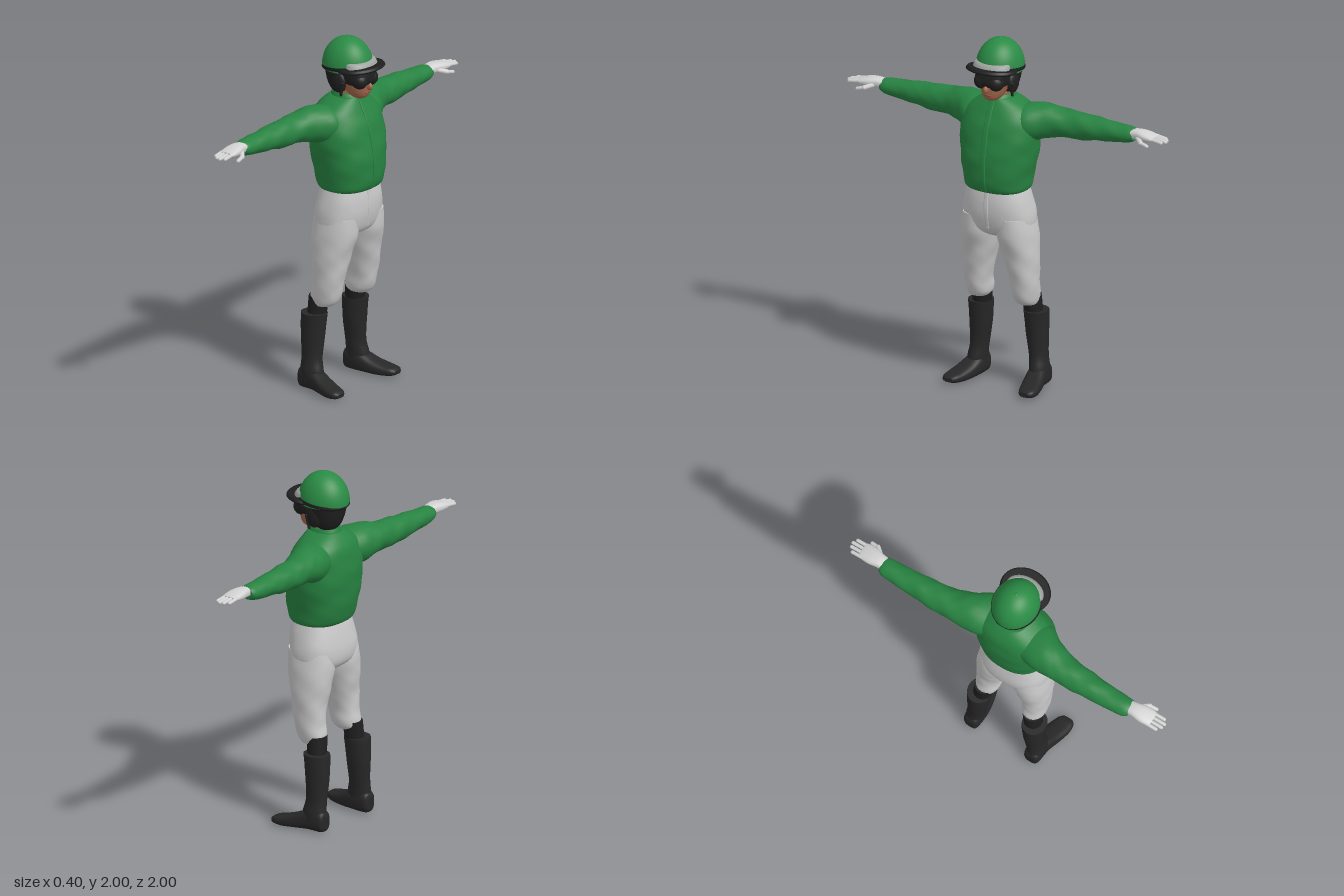
import * as THREE from 'three';

const mat = (name, color) => {
  const m = new THREE.MeshStandardMaterial({ color });
  m.name = name;
  return m;
};

// Axis order for cross-sections: [along, first, second]
const AXES = { x: [0, 1, 2], y: [1, 0, 2], z: [2, 0, 1] };

const spline = (a, b, c, d, t) =>
  0.5 * (2 * b + (c - a) * t + (2 * a - 5 * b + 4 * c - d) * t * t + (3 * b - a - 3 * c + d) * t * t * t);

// Skin through rows of [position, min1, max1, min2, max2] along an axis.
// side mirrors in z, power squares the section, fold adds cloth ripples, tilt lifts y along x.
function loft(rows, { axis = 'y', side = 1, power = 2, steps = 4, seg = 28, fold = 0, tilt = 0 } = {}) {
  const [A, U, V] = AXES[axis], pos = [], idx = [];
  const flip = (axis !== 'y') !== (side < 0);
  const tri = (a, b, c) => (flip ? idx.push(a, c, b) : idx.push(a, b, c));
  const put = (along, u, v) => {
    const p = [0, 0, 0];
    p[A] = along; p[U] = u; p[V] = v;
    pos.push(p[0], p[1] + tilt * p[0], p[2] * side);
  };
  const at = (i) => rows[Math.max(0, Math.min(rows.length - 1, i))];
  const n = (rows.length - 1) * steps;
  const ring = (k) => {
    const i = Math.min(Math.floor(k / steps), rows.length - 2), t = k / steps - i;
    const r = at(i).map((_, c) => spline(at(i - 1)[c], at(i)[c], at(i + 1)[c], at(i + 2)[c], t));
    const fade = Math.sin((Math.PI * k) / n);
    for (let j = 0; j < seg; j++) {
      const a = (j / seg) * Math.PI * 2, c = Math.cos(a), s = Math.sin(a);
      const w = 1 + fold * fade * (Math.sin(3 * a + r[0] * 38) + 0.6 * Math.sin(5 * a - r[0] * 61));
      const e = 2 / power;
      put(r[0],
        (r[1] + r[2]) / 2 + ((r[2] - r[1]) / 2) * w * Math.sign(c) * Math.abs(c) ** e,
        (r[3] + r[4]) / 2 + ((r[4] - r[3]) / 2) * w * Math.sign(s) * Math.abs(s) ** e);
    }
    return r;
  };
  for (let k = 0; k <= n; k++) ring(k);
  for (let k = 0; k < n; k++) for (let j = 0; j < seg; j++) {
    const a = k * seg + j, b = k * seg + ((j + 1) % seg);
    tri(a, a + seg, b);
    tri(b, a + seg, b + seg);
  }
  // End caps with their own vertices keep the rims crisp
  for (const k of [0, n]) {
    const base = pos.length / 3, r = ring(k);
    put(r[0], (r[1] + r[2]) / 2, (r[3] + r[4]) / 2);
    for (let j = 0; j < seg; j++) {
      const a = base + j, b = base + ((j + 1) % seg);
      k ? tri(base + seg, b, a) : tri(base + seg, a, b);
    }
  }
  const g = new THREE.BufferGeometry();
  g.setAttribute('position', new THREE.Float32BufferAttribute(pos, 3));
  g.setIndex(idx);
  g.computeVertexNormals();
  return g;
}

export function createModel() {
  const model = new THREE.Group();
  const green = mat('silk green', 0x278241), shell = mat('helmet green', 0x2a8b45);
  const white = mat('breeches white', 0xc9c9c9), glove = mat('glove white', 0xd2d2d2);
  const black = mat('boot black', 0x272727), dark = mat('padding black', 0x1f1f20);
  const skin = mat('skin', 0xa4674b), grey = mat('band grey', 0x9ea39f), lip = mat('lips', 0x8c4f40);

  const add = (name, geometry, material) => {
    const m = new THREE.Mesh(geometry, material);
    m.name = name;
    model.add(m);
    return m;
  };
  const ball = (name, material, p, s) => {
    const m = add(name, new THREE.SphereGeometry(1, 24, 16), material);
    m.position.set(...p);
    m.scale.set(...s);
    return m;
  };
  const rod = (name, material, a, b, r) => {
    const p = new THREE.Vector3(...a), q = new THREE.Vector3(...b), d = q.clone().sub(p);
    const m = add(name, new THREE.CapsuleGeometry(r, d.length(), 5, 10), material);
    m.position.copy(p).add(q).multiplyScalar(0.5);
    m.quaternion.setFromUnitVectors(new THREE.Vector3(0, 1, 0), d.normalize());
  };

  // Blouse, placket and collar
  const torso = [
    [1.145, -0.13, 0.13, -0.165, 0.165], [1.165, -0.155, 0.16, -0.182, 0.182],
    [1.22, -0.175, 0.175, -0.19, 0.19], [1.32, -0.192, 0.178, -0.208, 0.208],
    [1.42, -0.197, 0.163, -0.222, 0.222], [1.52, -0.19, 0.138, -0.222, 0.222],
    [1.59, -0.173, 0.106, -0.195, 0.195], [1.635, -0.145, 0.083, -0.14, 0.14],
    [1.665, -0.115, 0.068, -0.085, 0.085],
  ];
  add('blouse', loft(torso, { power: 2.3, seg: 48, steps: 5, fold: 0.009 }), green);
  add('placket', loft(torso.slice(1).map(([y, , x]) => [y, x - 0.04, x + 0.005, -0.016, 0.016]),
    { power: 6 }), green);
  add('collar', loft([[1.63, -0.12, 0.08, -0.088, 0.088], [1.665, -0.113, 0.072, -0.078, 0.078],
    [1.685, -0.105, 0.055, -0.07, 0.07]]), green);

  // Hips with fly and belt loops
  add('hips', loft([
    [0.88, -0.1, 0.06, -0.12, 0.12], [0.92, -0.148, 0.115, -0.195, 0.195], [1.0, -0.16, 0.138, -0.205, 0.205],
    [1.09, -0.145, 0.142, -0.19, 0.19], [1.17, -0.125, 0.13, -0.168, 0.168],
  ], { power: 2.4, seg: 40, fold: 0.004 }), white);
  add('fly', loft([[0.94, 0.07, 0.128, -0.012, 0.012], [1.04, 0.09, 0.146, -0.016, 0.016],
    [1.15, 0.09, 0.139, -0.014, 0.014]], { power: 5 }), white);

  for (const side of [1, -1]) {
    const o = { side };
    const S = (x, y, z) => [x, y, z * side];

    const loop = add('beltLoop', new THREE.BoxGeometry(0.012, 0.06, 0.012), white);
    loop.position.set(0.105, 1.13, 0.105 * side);

    // Sleeve and cuff
    add('sleeve', loft([
      [0.08, -0.15, 0.06, 1.46, 1.62], [0.18, -0.182, 0.068, 1.425, 1.64], [0.27, -0.186, 0.018, 1.45, 1.637],
      [0.36, -0.186, -0.018, 1.463, 1.62], [0.48, -0.184, -0.035, 1.465, 1.612],
      [0.58, -0.178, -0.045, 1.48, 1.604], [0.68, -0.174, -0.053, 1.49, 1.595],
      [0.76, -0.167, -0.057, 1.503, 1.59], [0.79, -0.155, -0.065, 1.518, 1.582],
    ], { ...o, axis: 'z', fold: 0.026, steps: 6 }), green);

    // Gloved hand
    add('palm', loft([
      [0.76, -0.143, -0.068, 1.53, 1.578], [0.81, -0.145, -0.064, 1.532, 1.588],
      [0.86, -0.152, -0.052, 1.533, 1.585], [0.91, -0.148, -0.052, 1.54, 1.573], [0.925, -0.14, -0.058, 1.545, 1.567],
    ], { ...o, axis: 'z', power: 2.5 }), glove);
    [[-0.139, 0.965], [-0.115, 0.985], [-0.091, 0.99], [-0.067, 0.975]].forEach(([x, tip]) =>
      rod('finger', glove, S(x, 1.558, 0.905), S(x + 0.002, 1.549, tip), 0.0105));
    rod('thumb', glove, S(-0.068, 1.55, 0.83), S(-0.036, 1.538, 0.865), 0.014);
    rod('thumbTip', glove, S(-0.036, 1.538, 0.865), S(-0.031, 1.528, 0.905), 0.011);

    // Breeches leg gathered below the knee
    add('breechesLeg', loft([
      [0.485, -0.115, 0.0, 0.1, 0.2], [0.505, -0.132, 0.025, 0.083, 0.208], [0.54, -0.135, 0.042, 0.076, 0.214],
      [0.6, -0.124, 0.056, 0.073, 0.218], [0.7, -0.125, 0.075, 0.052, 0.221], [0.8, -0.139, 0.096, 0.025, 0.221],
      [0.9, -0.149, 0.122, 0.004, 0.214], [1.0, -0.14, 0.125, 0.003, 0.2],
    ], { ...o, power: 2.2, fold: 0.016, steps: 5 }), white);

    // Sock, boot shaft and foot
    add('sock', loft([[0.41, -0.15, -0.045, 0.11, 0.215], [0.53, -0.147, -0.03, 0.098, 0.205]], o), dark);
    add('bootShaft', loft([
      [0.05, -0.178, -0.03, 0.142, 0.245], [0.11, -0.176, -0.035, 0.14, 0.245], [0.18, -0.173, -0.05, 0.133, 0.235],
      [0.3, -0.18, -0.043, 0.115, 0.238], [0.4, -0.181, -0.033, 0.107, 0.241], [0.435, -0.18, -0.028, 0.106, 0.242],
    ], { ...o, fold: 0.006 }), black);
    add('bootFoot', loft([
      [-0.182, 0.02, 0.09, 0.165, 0.215], [-0.165, 0.002, 0.12, 0.147, 0.237], [-0.08, 0.002, 0.118, 0.14, 0.248],
      [0, 0, 0.082, 0.152, 0.27], [0.07, 0, 0.06, 0.172, 0.286], [0.118, 0.006, 0.05, 0.192, 0.283],
      [0.138, 0.015, 0.037, 0.212, 0.265],
    ], { ...o, axis: 'x', power: 2.7 }), black);

    // Goggle lens, ear flap and hanging strap
    ball('goggleLens', dark, S(0.105, 1.778, 0.043), [0.047, 0.046, 0.045]);
    ball('earFlap', dark, S(-0.01, 1.755, 0.083), [0.05, 0.06, 0.025]);
    rod('chinStrap', dark, S(0.03, 1.76, 0.098), S(0.015, 1.69, 0.092), 0.008);
  }

  // Head
  add('neck', loft([[1.6, -0.09, 0.04, -0.06, 0.06], [1.74, -0.09, 0.05, -0.06, 0.06]]), skin);
  add('face', loft([
    [1.668, 0.035, 0.1, -0.03, 0.03], [1.685, 0.0, 0.123, -0.048, 0.048], [1.72, -0.04, 0.133, -0.065, 0.065],
    [1.77, -0.08, 0.135, -0.078, 0.078], [1.85, -0.1, 0.12, -0.08, 0.08],
  ], { power: 2.2 }), skin);
  ball('nose', skin, [0.137, 1.742, 0], [0.022, 0.022, 0.014]);
  ball('lips', lip, [0.125, 1.708, 0], [0.011, 0.007, 0.024]);
  add('goggleFrame', loft([[1.756, 0.0, 0.142, -0.084, 0.084], [1.785, -0.01, 0.151, -0.091, 0.091],
    [1.83, -0.01, 0.143, -0.09, 0.09]], { power: 2.6 }), dark);

  // Helmet: padding, dome, brim with peak, grey front band
  add('helmetPadding', loft([
    [1.685, -0.095, 0.0, -0.062, 0.062], [1.71, -0.113, 0.035, -0.082, 0.082],
    [1.76, -0.132, 0.048, -0.098, 0.098], [1.84, -0.145, 0.06, -0.113, 0.113],
  ]), dark);
  const dome = add('helmetDome', new THREE.SphereGeometry(1, 40, 20, 0, Math.PI * 2, 0, Math.PI * 0.52), shell);
  dome.position.set(-0.014, 1.832, 0);
  dome.scale.set(0.146, 0.164, 0.13);
  add('helmetRim', loft([[1.825, -0.15, 0.12, -0.122, 0.122], [1.835, -0.16, 0.14, -0.134, 0.134],
    [1.85, -0.158, 0.14, -0.133, 0.133]], { tilt: 0.11, seg: 40 }), dark);
  add('helmetPeak', loft([[1.822, -0.04, 0.185, -0.135, 0.135], [1.832, -0.04, 0.2, -0.146, 0.146],
    [1.845, -0.03, 0.19, -0.138, 0.138]], { tilt: 0.1, seg: 40 }), dark);
  add('helmetBand', loft([[1.85, 0.0, 0.155, -0.112, 0.112], [1.873, 0.0, 0.142, -0.106, 0.106],
    [1.882, 0.0, 0.128, -0.098, 0.098]]), grey);
  ball('helmetButton', shell, [-0.014, 1.99, 0], [0.012, 0.009, 0.012]);

  return model;
}
